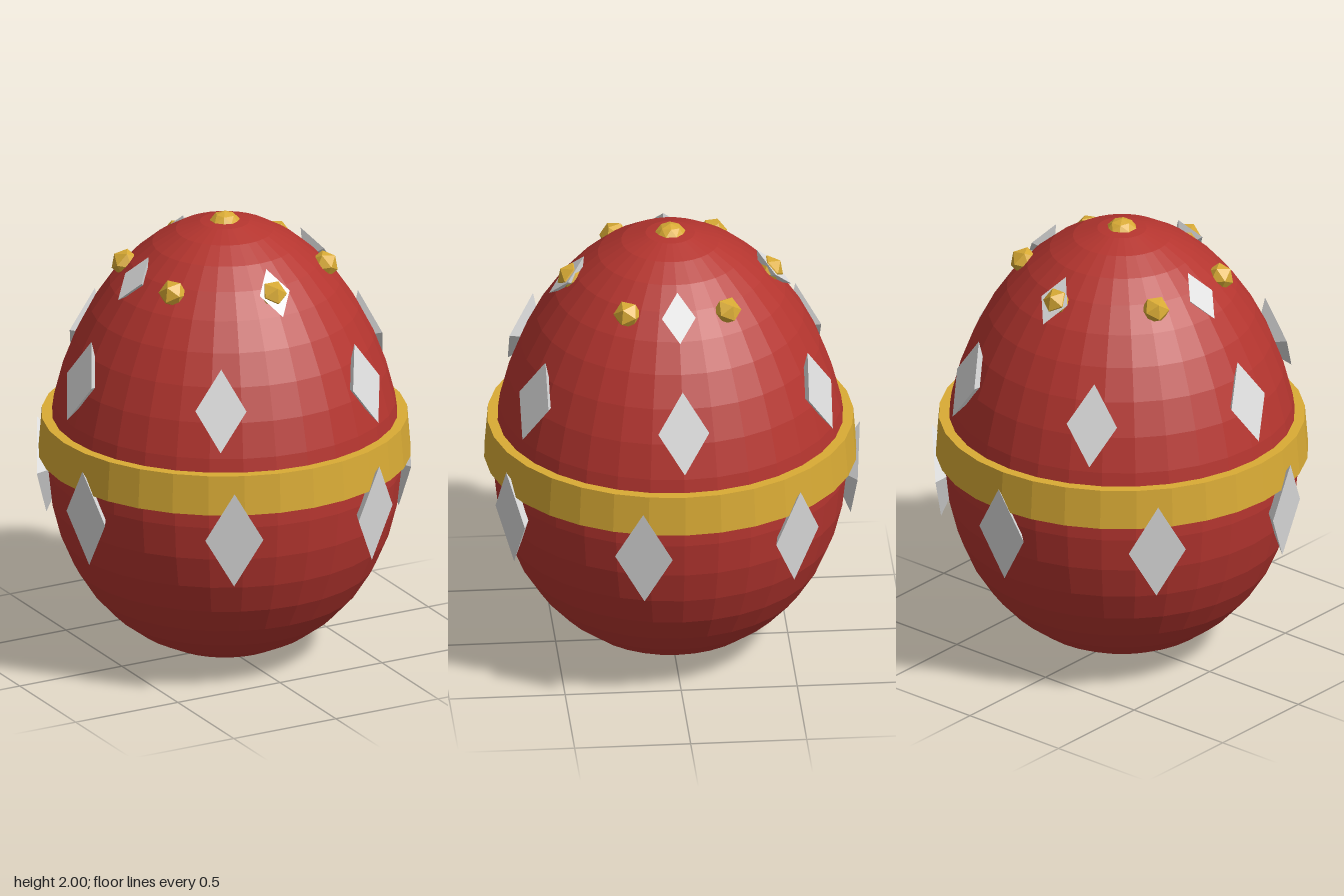
import * as THREE from 'three';

const material = (name, color) => {
  const m = new THREE.MeshStandardMaterial({ color });
  m.name = name;
  return m;
};

// Split faces so every facet is flat
function faceted(geometry) {
  const g = geometry.index ? geometry.toNonIndexed() : geometry;
  g.computeVertexNormals();
  return g;
}

// Rhombus gem: flat outer face on z = 0, narrowing inwards
function diamondGeometry(halfWidth, halfHeight, depth) {
  const g = new THREE.CylinderGeometry(1, 0.4, depth, 4);
  g.rotateX(Math.PI / 2);
  g.translate(0, 0, -depth / 2);
  g.scale(halfWidth, halfHeight, 1);
  return faceted(g);
}

export function createModel() {
  const model = new THREE.Group();
  const body = new THREE.Group();
  body.position.z = 0.006;
  model.add(body);

  const red = material('red', 0xb5352f);
  const gold = material('gold', 0xd9ab35);
  const silver = material('silver', 0xdcdcdc);

  const add = (name, geometry, mat) => {
    const mesh = new THREE.Mesh(geometry, mat);
    mesh.name = name;
    body.add(mesh);
    return mesh;
  };

  // Egg shell: sphere that narrows towards the top
  const egg = new THREE.SphereGeometry(1, 32, 20);
  const p = egg.attributes.position;
  for (let i = 0; i < p.count; i++) {
    const t = p.getY(i);
    const r = 0.757 - 0.08 * t;
    p.setXYZ(i, p.getX(i) * r, 0.985 + 0.985 * t, p.getZ(i) * r);
  }
  add('eggShell', faceted(egg), red);

  // Band around the middle
  const profile = [[0.74, 0.905], [0.802, 0.905], [0.788, 1.08], [0.73, 1.08]];
  const band = new THREE.LatheGeometry(profile.map(([x, y]) => new THREE.Vector2(x, y)), 32);
  add('band', faceted(band), gold);

  // Ring of copies facing outwards, leaning back by tilt
  function ring(name, geometry, mat, count, start, radius, y, tilt) {
    for (let i = 0; i < count; i++) {
      const a = start + (i / count) * Math.PI * 2;
      const mesh = add(name, geometry, mat);
      mesh.position.set(radius * Math.sin(a), y, radius * Math.cos(a));
      mesh.rotation.set(-tilt, a, 0, 'YXZ');
    }
  }

  // Diamond gems in three rows
  ring('lowerDiamond', diamondGeometry(0.125, 0.22, 0.07), silver, 7, Math.PI, 0.797, 0.79, -0.09);
  ring('middleDiamond', diamondGeometry(0.11, 0.18, 0.07), silver, 6, Math.PI / 6, 0.712, 1.35, 0.34);
  ring('upperDiamond', diamondGeometry(0.073, 0.114, 0.05), silver, 4, 0, 0.447, 1.772, 0.72);

  // Gold studs, each with one corner pointing outwards
  const stud = new THREE.IcosahedronGeometry(0.062, 0);
  const corner = new THREE.Vector3(0, 1, (1 + Math.sqrt(5)) / 2).normalize();
  stud.applyQuaternion(new THREE.Quaternion().setFromUnitVectors(corner, new THREE.Vector3(0, 0, 1)));
  ring('stud', faceted(stud), gold, 6, 0, 0.428, 1.76, 0.72);

  // Stud on the tip
  const topStud = add('topStud', faceted(new THREE.IcosahedronGeometry(0.075, 1)), gold);
  topStud.position.y = 1.926;

  return model;
}
